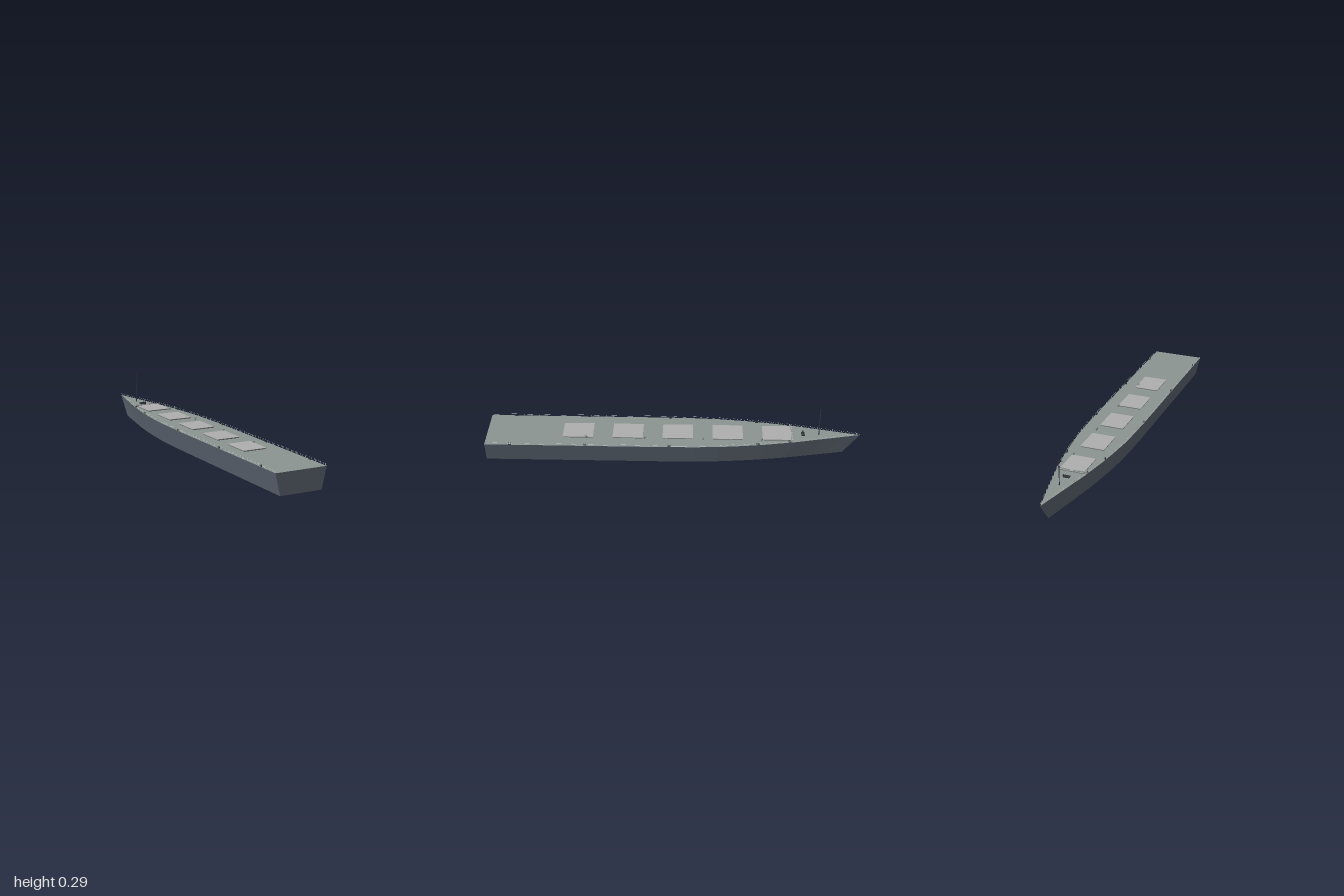
import * as THREE from 'three';

const DECK = 0.112;
const mat = (color) => new THREE.MeshStandardMaterial({ color, flatShading: true });
const hullMat = mat(0x5c6570), deckMat = mat(0x8c9491), coverMat = mat(0xaeaeae);
const coamingMat = mat(0x6c7270), darkMat = mat(0x33363a), railMat = mat(0xcccccc);

// Half-width of the deck edge along the ship (bow at -z, square stern at +z)
const stations = [
  [-1, 0], [-0.9, 0.022], [-0.8, 0.044], [-0.65, 0.077], [-0.5, 0.103],
  [-0.38, 0.119], [-0.25, 0.132], [-0.12, 0.138], [0.04, 0.141], [1, 0.141],
];
function halfWidth(z) {
  for (let i = 1; i < stations.length; i++) {
    const [z0, w0] = stations[i - 1], [z1, w1] = stations[i];
    if (z <= z1) return w0 + ((w1 - w0) * (z - z0)) / (z1 - z0);
  }
  return 0.141;
}

function add(parent, name, geometry, material, x = 0, y = 0, z = 0) {
  const mesh = new THREE.Mesh(geometry, material);
  mesh.name = name;
  mesh.position.set(x, y, z);
  parent.add(mesh);
  return mesh;
}
const box = (w, h, d) => new THREE.BoxGeometry(w, h, d);
const cyl = (r, h, n = 8, r2 = r) => new THREE.CylinderGeometry(r2, r, h, n);

// Joins cross-sections between the chosen corners: 0-1 port, 1-2 bottom, 2-3 starboard, 3-0 deck
function skin(sides, stern) {
  const pos = [];
  const quad = (a, b, c, d) => [a, b, c, a, c, d].forEach((p) => pos.push(...p));
  const sections = stations.map(([z, w]) => {
    const b = w * 0.81, zb = z < 0 ? z * 0.912 : z;
    return [[-w, DECK, z], [-b, 0, zb], [b, 0, zb], [w, DECK, z]];
  });
  for (let i = 0; i < sections.length - 1; i++) {
    for (const j of sides) {
      const k = (j + 1) % 4, s = sections[i], t = sections[i + 1];
      quad(s[j], s[k], t[k], t[j]);
    }
  }
  if (stern) quad(...sections[sections.length - 1]);
  const g = new THREE.BufferGeometry();
  g.setAttribute('position', new THREE.Float32BufferAttribute(pos, 3));
  g.computeVertexNormals();
  return g;
}

function railing(side) {
  const g = new THREE.Group();
  g.name = side > 0 ? 'leftRailing' : 'rightRailing';
  const edge = (z) => side * Math.max(halfWidth(z) - 0.001, 0);
  const post = box(0.0008, 0.011, 0.0008);
  for (let i = 0; i <= 48; i++) {
    const z = -0.98 + i * 0.041;
    add(g, 'railPost', post, railMat, edge(z), DECK + 0.0055, z);
  }
  // Thin wires follow the deck edge
  for (const h of [0.0055, 0.0105]) {
    for (let i = 1; i < stations.length; i++) {
      const a = new THREE.Vector3(edge(stations[i - 1][0]), DECK + h, stations[i - 1][0]);
      const b = new THREE.Vector3(edge(stations[i][0]), DECK + h, stations[i][0]);
      const wire = new THREE.TubeGeometry(new THREE.LineCurve3(a, b), 1, 0.0003, 4);
      add(g, 'railWire', wire, railMat);
    }
  }
  return g;
}

function bollards(x, z) {
  const g = new THREE.Group();
  g.name = 'bollardPair';
  add(g, 'bollardBase', box(0.005, 0.002, 0.016), darkMat, 0, 0.001, 0);
  for (const s of [-1, 1]) add(g, 'bollard', cyl(0.0022, 0.008), darkMat, 0, 0.005, s * 0.005);
  g.position.set(x, DECK, z);
  return g;
}

export function createModel() {
  const ship = new THREE.Group();
  ship.name = 'ship';
  add(ship, 'hull', skin([0, 1, 2], true), hullMat);
  add(ship, 'deck', skin([3], false), deckMat);

  // Cargo hatches: dark coaming with a lighter cover
  for (let i = 0; i < 5; i++) {
    const z = -0.558 + i * 0.267;
    add(ship, 'hatchCoaming', box(0.126, 0.005, 0.158), coamingMat, 0, DECK + 0.0025, z);
    add(ship, 'hatchCover', box(0.13, 0.002, 0.162), coverMat, 0, DECK + 0.0055, z);
  }

  // Ventilators between the hatches
  for (let i = 0; i < 4; i++) {
    const z = -0.47 + i * 0.312;
    add(ship, 'ventPipe', cyl(0.005, 0.009, 10), deckMat, 0.064, DECK + 0.0045, z);
    add(ship, 'ventCap', cyl(0.008, 0.006, 10, 0.007), deckMat, 0.064, DECK + 0.0115, z);
  }

  // Breakwater in two halves ahead of the first hatch
  for (const s of [-1, 1]) {
    const wall = add(ship, 'breakwater', box(0.072, 0.0105, 0.006), deckMat, s * 0.045, DECK + 0.005, -0.632);
    wall.rotation.y = -s * 0.12;
    ship.add(railing(s));
    for (const z of [-0.62, -0.45, 0.02, 0.465, 0.865]) {
      ship.add(bollards(s * (halfWidth(z) - 0.005), z));
    }
  }

  // Anchor windlass
  const windlass = new THREE.Group();
  windlass.name = 'windlass';
  add(windlass, 'windlassBase', box(0.032, 0.004, 0.018), darkMat, 0, 0.002, 0);
  add(windlass, 'windlassShaft', cyl(0.0025, 0.042), darkMat, 0, 0.0075, 0).rotation.z = Math.PI / 2;
  for (const x of [-0.017, -0.007, 0.007, 0.017]) {
    add(windlass, 'windlassDrum', cyl(0.0045, 0.005, 10), darkMat, x, 0.0075, 0).rotation.z = Math.PI / 2;
  }
  windlass.position.set(0, DECK, -0.695);
  ship.add(windlass);

  // Foremast with yards
  const mast = new THREE.Group();
  mast.name = 'foremast';
  add(mast, 'mastPole', cyl(0.0024, 0.178, 8, 0.0015), darkMat, 0, 0.089, 0);
  add(mast, 'mastFoot', cyl(0.004, 0.005), darkMat, 0, 0.0025, 0);
  add(mast, 'mastYard', box(0.036, 0.0015, 0.0015), darkMat, 0, 0.128, 0);
  add(mast, 'mastLamp', box(0.009, 0.003, 0.005), darkMat, 0, 0.098, 0);
  mast.position.set(0, DECK, -0.78);
  ship.add(mast);

  // Post at the stem head
  add(ship, 'bowPost', cyl(0.0022, 0.011), darkMat, 0, DECK + 0.0055, -0.993);
  return ship;
}
